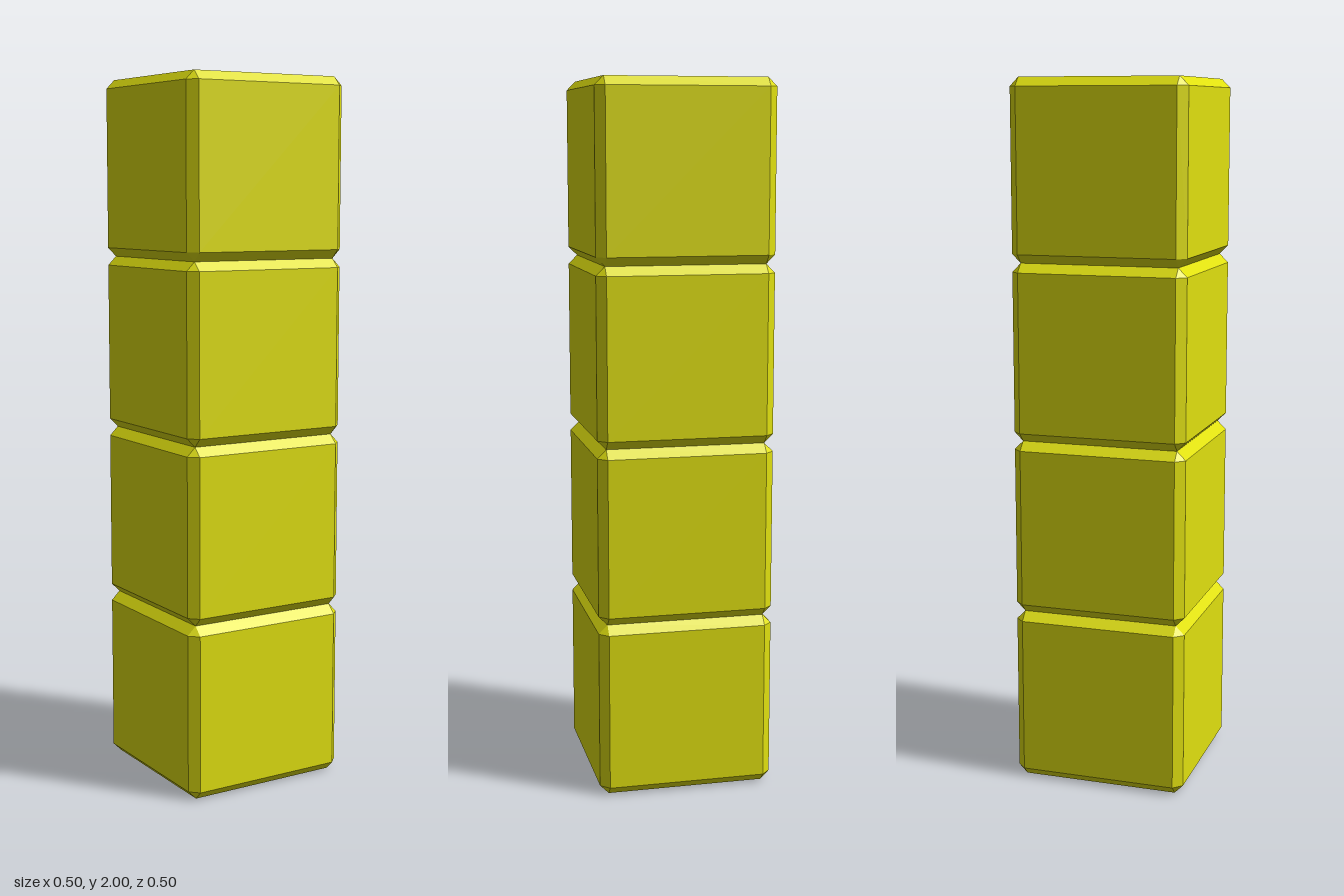
import * as THREE from 'three';
import { ConvexGeometry } from 'three/addons/geometries/ConvexGeometry.js';

// Cube with flat chamfers on every edge and a small triangle at each corner
function chamferedCube(size, bevel) {
  const outer = size / 2;
  const inner = outer - bevel;
  const points = [];
  for (const sx of [-1, 1]) for (const sy of [-1, 1]) for (const sz of [-1, 1]) {
    for (let axis = 0; axis < 3; axis++) {
      const p = [sx * inner, sy * inner, sz * inner];
      p[axis] = [sx, sy, sz][axis] * outer;
      points.push(new THREE.Vector3(...p));
    }
  }
  return new ConvexGeometry(points);
}

export function createModel() {
  const group = new THREE.Group();
  group.name = 'blockColumn';
  const size = 0.5;
  const geometry = chamferedCube(size, 0.025);
  const material = new THREE.MeshStandardMaterial({ color: 0xe0e010, flatShading: true });

  // Four blocks stacked in a straight column
  for (let i = 0; i < 4; i++) {
    const block = new THREE.Mesh(geometry, material);
    block.name = `block${i + 1}`;
    block.position.y = size * (i + 0.5);
    group.add(block);
  }
  return group;
}
